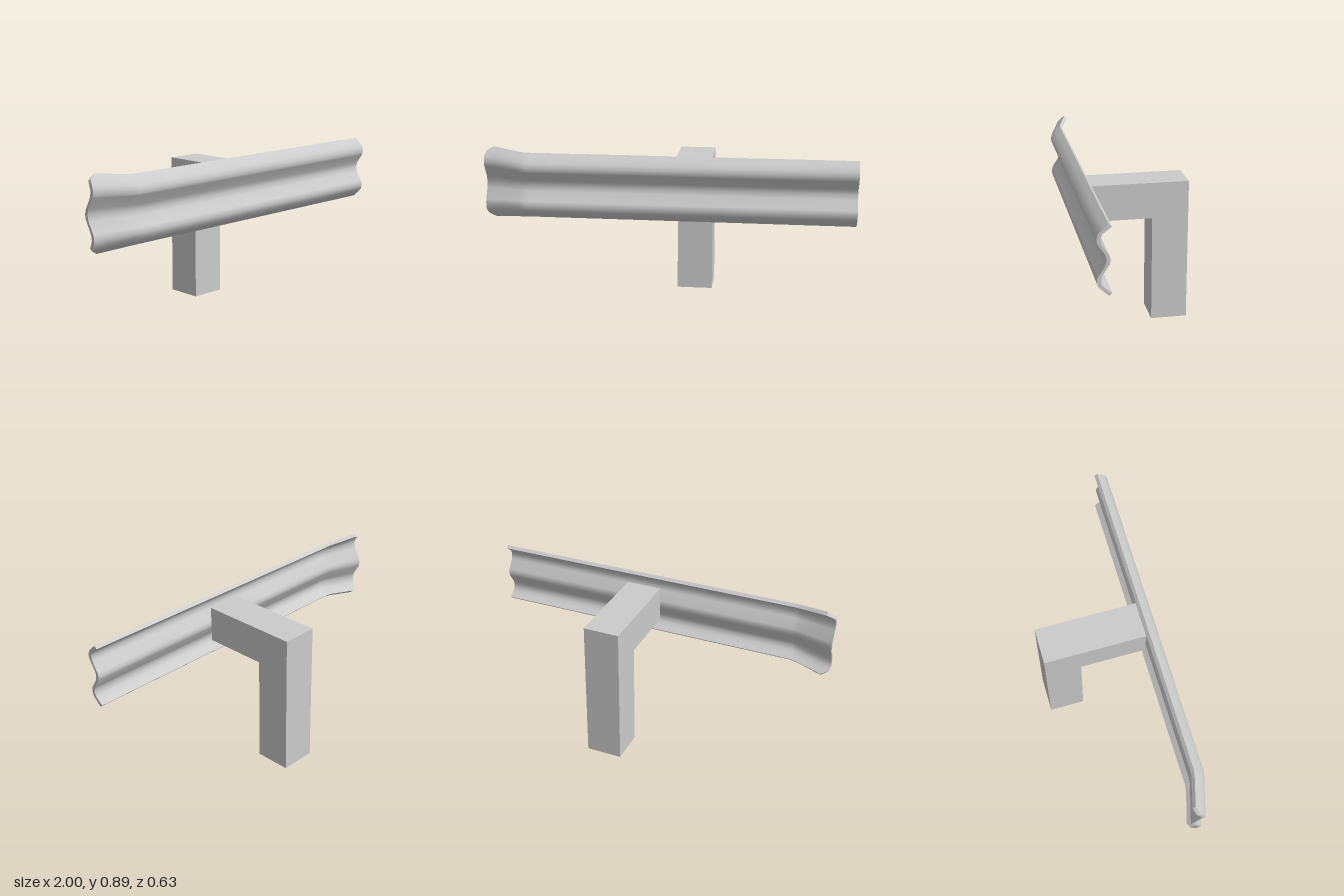
import * as THREE from 'three';

const MID_Y = 0.694;

// Upper half of the rail section as [z, height above middle], lip to centre
const FRONT = [[0.258, 0.178], [0.283, 0.156], [0.308, 0.131], [0.315, 0.108], [0.313, 0.09], [0.308, 0.078], [0.275, 0.028], [0.268, 0]];
const BACK = [[0.242, 0.164], [0.265, 0.147], [0.287, 0.130], [0.296, 0.108], [0.293, 0.088], [0.288, 0.074], [0.254, 0.022], [0.249, 0]];

const mirrored = (half) => [...half, ...half.slice(0, -1).reverse().map(([z, h]) => [z, -h])];

// One section of the rail at x; the last stretch bends back and widens,
// and the lips are pulled in at the very end to round its corners
function section(half, x) {
  const pull = x === -1 ? [0.045, 0.01] : [];
  const pts = mirrored(half);
  return pts.map(([z, h], j) => {
    const px = x + (pull[Math.min(j, pts.length - 1 - j)] ?? 0);
    const t = Math.max(0, (-0.78 - px) / 0.22);
    return new THREE.Vector3(px, MID_Y + h * (1 + 0.14 * t), z - 0.065 * t);
  });
}

// Surface through rows of points, with smooth normals inside the patch
function patch(rows) {
  const n = rows[0].length;
  const index = [];
  for (let i = 0; i < rows.length - 1; i++) {
    for (let j = 0; j < n - 1; j++) {
      const a = i * n + j, b = a + 1, c = a + n, d = c + 1;
      index.push(a, b, c, b, d, c);
    }
  }
  const geo = new THREE.BufferGeometry().setFromPoints(rows.flat());
  geo.setIndex(index);
  geo.computeVertexNormals();
  return geo;
}

export function createModel() {
  const model = new THREE.Group();
  const material = new THREE.MeshStandardMaterial({ color: 0xcccccc });
  const add = (parent, name, geo) => {
    const mesh = new THREE.Mesh(geo, material);
    mesh.name = name;
    parent.add(mesh);
  };

  // Corrugated rail with a flared end
  const rail = new THREE.Group();
  rail.name = 'rail';
  const stations = [-1, -0.93, -0.86, -0.8, -0.76, -0.6, 0, 0.6, 1];
  const front = stations.map((x) => section(FRONT, x));
  const back = stations.map((x) => section(BACK, x));
  add(rail, 'railFront', patch(front));
  add(rail, 'railBack', patch([...back].reverse()));
  add(rail, 'railTopEdge', patch(front.map((f, i) => [back[i][0], f[0]])));
  add(rail, 'railBottomEdge', patch(front.map((f, i) => [f.at(-1), back[i].at(-1)])));
  add(rail, 'railLeftEnd', patch([front.at(-1), back.at(-1)]));
  add(rail, 'railRightEnd', patch([back[0], front[0]]));
  model.add(rail);

  // Post with its arm, an L drawn in z and y and extruded along x
  const outline = [[-0.315, 0], [-0.115, 0], [-0.115, 0.597], [0.25, 0.597], [0.25, 0.797], [-0.315, 0.797]];
  const shape = new THREE.Shape(outline.map(([z, y]) => new THREE.Vector2(z, y)));
  const post = new THREE.ExtrudeGeometry(shape, { depth: 0.2, bevelEnabled: false });
  post.rotateY(-Math.PI / 2);
  post.translate(0.215, 0, 0);
  add(model, 'postWithArm', post);

  return model;
}
